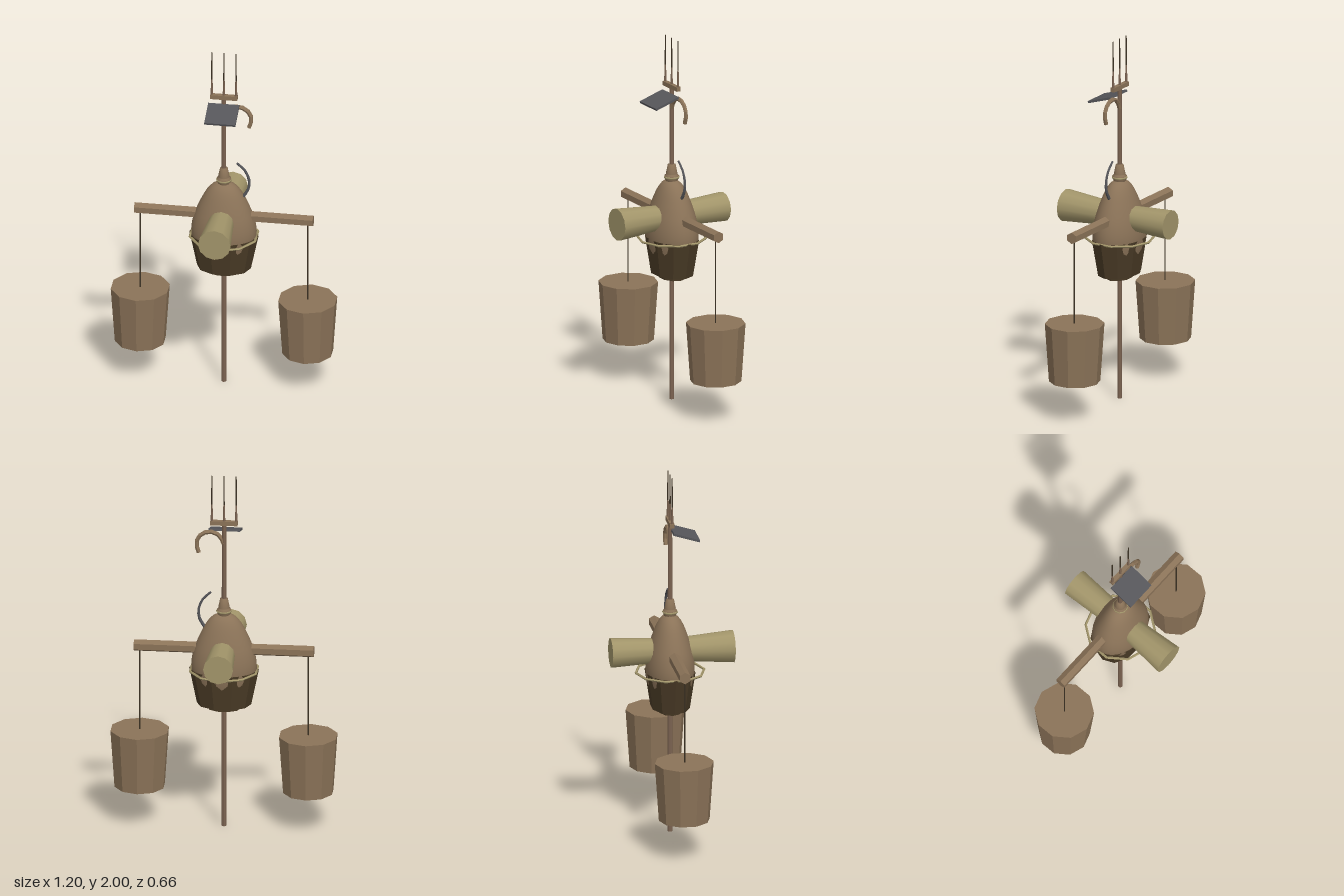
import * as THREE from 'three';

export function createModel() {
  const model = new THREE.Group();
  const mat = (name, color, side = THREE.FrontSide) => {
    const m = new THREE.MeshStandardMaterial({ color, side });
    m.name = name;
    return m;
  };
  const wood = mat('wood', 0x8b7358);
  const poleWood = mat('pole wood', 0x7a6250);
  const darkWood = mat('dark wood', 0x4a3b26, THREE.DoubleSide);
  const straw = mat('straw', 0xa2956a);
  const steel = mat('steel', 0x56565a);
  const cord = mat('cord', 0x3c3224);

  const Z = -0.01; // common depth of pole, beam and body
  const add = (name, geo, material, x = 0, y = 0, z = Z) => {
    const m = new THREE.Mesh(geo, material);
    m.name = name;
    m.position.set(x, y, z);
    model.add(m);
    return m;
  };
  const flat = (geo) => {
    const g = geo.toNonIndexed();
    g.computeVertexNormals();
    return g;
  };
  const lathe = (pts, n, start = 0) =>
    new THREE.LatheGeometry(pts.map(([r, y]) => new THREE.Vector2(r, y)), n, start);
  const rod = (r1, r0, h, n) => flat(new THREE.CylinderGeometry(r1, r0, h, n));

  // Curved bar through a few points, tapering to its tip, with closed ends
  const curvedBar = (pts, r, tip, seg, sides) => {
    const curve = new THREE.CatmullRomCurve3(pts.map(([x, y]) => new THREE.Vector3(x, y, 0)));
    const g = new THREE.TubeGeometry(curve, seg, r, sides);
    const p = g.attributes.position, v = new THREE.Vector3();
    for (let i = 0; i < p.count; i++) {
      const t = Math.floor(i / (sides + 1)) / seg;
      const c = curve.getPointAt(t);
      v.fromBufferAttribute(p, i).sub(c).multiplyScalar(1 + (tip / r - 1) * t).add(c);
      p.setXYZ(i, v.x, v.y, v.z);
    }
    const index = [...g.index.array], end = seg * (sides + 1);
    for (let j = 1; j < sides - 1; j++) {
      index.push(0, j, j + 1, end, end + j + 1, end + j);
    }
    g.setIndex(index);
    return flat(g);
  };

  // Pole
  add('pole', rod(0.012, 0.013, 1.73, 8), poleWood, 0, 0.865);

  // Fork head: crossbar and three two-stage tines
  add('forkCrossbar', new THREE.BoxGeometry(0.145, 0.024, 0.024), wood, 0, 1.733);
  for (const x of [-0.065, 0, 0.065]) {
    add('tineBase', rod(0.004, 0.008, 0.11, 6), poleWood, x, 1.79);
    add('tine', rod(0.003, 0.005, 0.25, 6), cord, x, 1.875);
  }

  // Tilted hoe blade and wooden hook beneath the fork
  const blade = add('hoeBlade', new THREE.BoxGeometry(0.167, 0.012, 0.148), steel, 0, 1.667, 0.066);
  blade.rotation.x = 0.31;
  add('woodenHook', curvedBar([[0, 1.61], [0.025, 1.66], [0.07, 1.68], [0.12, 1.665],
    [0.148, 1.615], [0.135, 1.56]], 0.012, 0.012, 8, 6), wood);

  // Egg-shaped body, slightly narrower in depth
  const bodyCurve = new THREE.SplineCurve([[0.001, 0.683], [0.06, 0.69], [0.105, 0.725], [0.15, 0.8],
    [0.172, 0.88], [0.174, 0.94], [0.163, 1.0], [0.146, 1.05], [0.125, 1.1], [0.094, 1.16],
    [0.055, 1.203], [0.001, 1.222]].map(([x, y]) => new THREE.Vector2(x, y)));
  const body = new THREE.LatheGeometry(bodyCurve.getPoints(28), 32);
  add('body', body, wood).scale.z = 0.74;

  // Neck collar with a straw binding
  add('neck', lathe([[0.028, 1.2], [0.038, 1.225], [0.038, 1.24], [0.027, 1.245],
    [0.031, 1.25], [0.021, 1.3], [0.001, 1.305]], 12), wood);
  add('neckBinding', new THREE.TorusGeometry(0.037, 0.006, 6, 10).rotateX(Math.PI / 2),
    straw, 0, 1.23);

  // Faceted tub around the lower body, with a foot rim open in the middle
  const tub = flat(lathe([[0.066, 0.69], [0.07, 0.675], [0.09, 0.675], [0.092, 0.695],
    [0.145, 0.7], [0.186, 0.9], [0.172, 0.9]], 10, Math.PI / 2));
  add('tub', tub, darkWood).scale.z = 0.72;

  // Straw hoop at the tub's edge
  add('hoop', flat(new THREE.TorusGeometry(0.184, 0.007, 5, 10).rotateX(Math.PI / 2)
    .rotateY(Math.PI / 10)), straw, 0, 0.897);

  // Flared drums at the front and back
  for (const [name, dir, r, len] of [['frontDrum', 1, 0.088, 0.33], ['backDrum', -1, 0.08, 0.33]]) {
    const g = new THREE.CylinderGeometry(r, 0.065, len - 0.05, 12);
    add(name, g.rotateX(dir * Math.PI / 2), straw, 0, 1.017, dir * (len + 0.05) / 2);
  }

  // Hexagonal carrying beam
  add('beam', rod(0.032, 0.032, 0.96, 6).rotateY(Math.PI / 2).rotateZ(Math.PI / 2),
    wood, 0, 1.016, -0.012);

  // Hanging buckets
  for (const s of [-1, 1]) {
    add('rope', rod(0.004, 0.004, 0.48, 6), cord, s * 0.45, 0.765);
    add('bucket', rod(0.159, 0.137, 0.32, 10), wood, s * 0.45, 0.376, -0.012);
  }

  // Steel sickle hook stuck in the body's left side
  add('sickle', curvedBar([[0.1, 1.13], [0.13, 1.18], [0.136, 1.23], [0.115, 1.29],
    [0.07, 1.335]], 0.009, 0.006, 8, 6), steel);

  return model;
}
